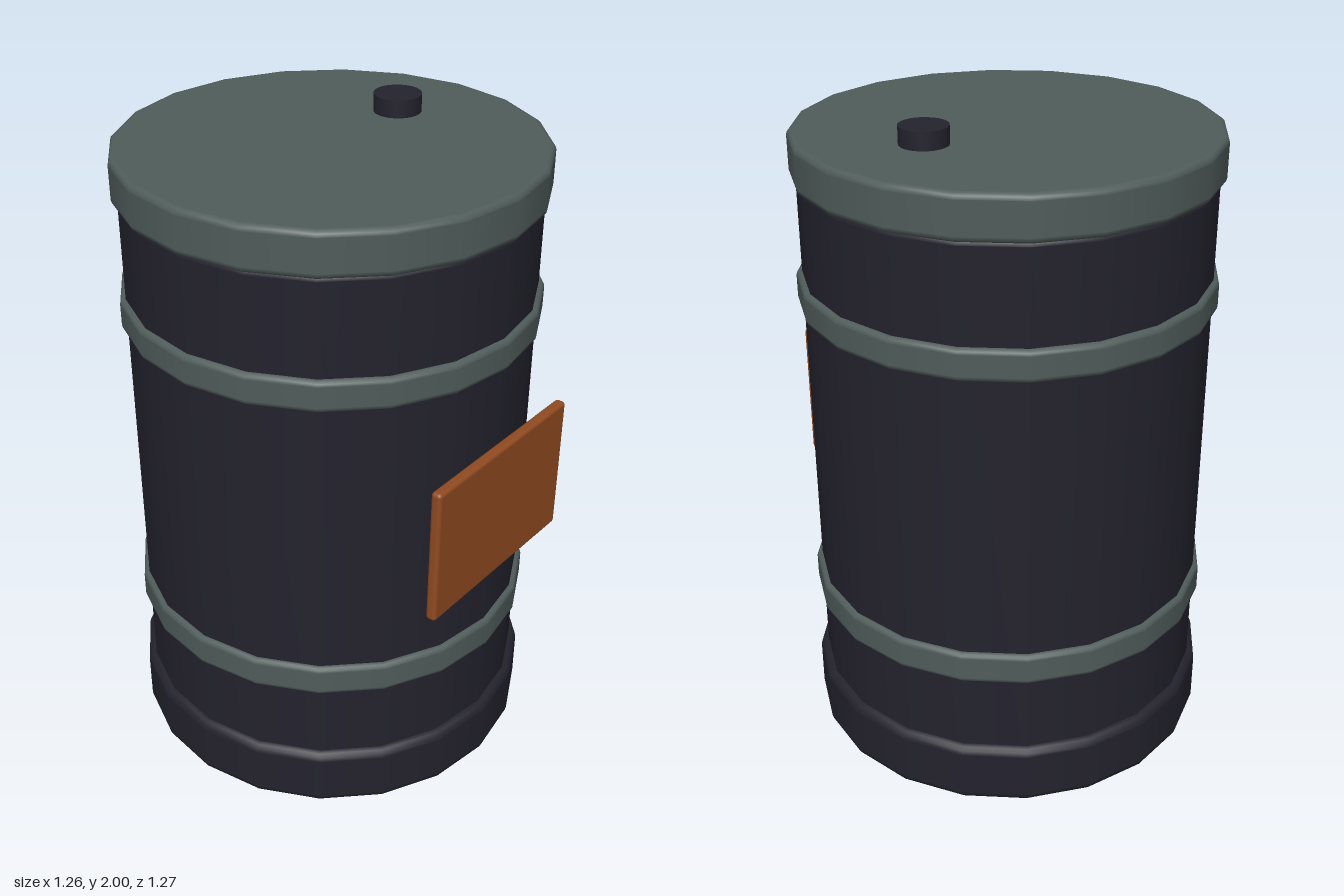
import * as THREE from 'three';
import { RoundedBoxGeometry } from 'three/addons/geometries/RoundedBoxGeometry.js';

const SIDES = 20;
const AXIS_Z = -0.005; // the drum sits slightly back to balance the label

const material = (name, color) => {
  const m = new THREE.MeshStandardMaterial({ color });
  m.name = name;
  return m;
};

// Closed disc or ring of the drum with rounded rims, from y0 to y1
function roundedDrum(radius, y0, y1, bevel) {
  const steps = 3, support = 0.002;
  const pts = [new THREE.Vector2(0, y0), new THREE.Vector2(radius - bevel - support, y0)];
  const arc = (cy, from) => {
    for (let i = 0; i <= steps; i++) {
      const a = from + (i / steps) * Math.PI / 2;
      pts.push(new THREE.Vector2(radius - bevel + Math.cos(a) * bevel, cy + Math.sin(a) * bevel));
    }
  };
  arc(y0 + bevel, -Math.PI / 2);
  // support rows keep the side and the caps evenly shaded
  pts.push(new THREE.Vector2(radius, y0 + bevel + support));
  pts.push(new THREE.Vector2(radius, y1 - bevel - support));
  arc(y1 - bevel, 0);
  pts.push(new THREE.Vector2(radius - bevel - support, y1), new THREE.Vector2(0, y1));
  return new THREE.LatheGeometry(pts, SIDES);
}

export function createModel() {
  const group = new THREE.Group();
  group.name = 'barrel';
  const dark = material('darkPaint', 0x24232e);
  const grey = material('greyMetal', 0x505d5b);
  const orange = material('labelOrange', 0x914b21);

  const add = (name, geometry, mat, x, y, z) => {
    const mesh = new THREE.Mesh(geometry, mat);
    mesh.name = name;
    mesh.position.set(x, y, z);
    group.add(mesh);
  };

  // Drum parts: name, radius, bottom, top, bevel, material
  const parts = [
    ['base', 0.632, 0, 0.2, 0.025, dark],
    ['body', 0.607, 0.05, 1.825, 0.02, dark],
    ['lowerBand', 0.624, 0.445, 0.545, 0.014, grey],
    ['upperBand', 0.624, 1.43, 1.525, 0.014, grey],
    ['lid', 0.624, 1.815, 1.947, 0.016, grey],
  ];
  for (const [name, r, y0, y1, bevel, mat] of parts) {
    add(name, roundedDrum(r, y0, y1, bevel), mat, 0, 0, AXIS_Z);
  }

  // Filler cap on the lid
  add('fillerCap', new THREE.CylinderGeometry(0.071, 0.071, 0.07, 24), dark, 0.303, 1.965, AXIS_Z);

  // Blank label plate on the front
  add('label', new RoundedBoxGeometry(0.64, 0.44, 0.034, 3, 0.012), orange, 0, 0.97, 0.62);

  return group;
}
